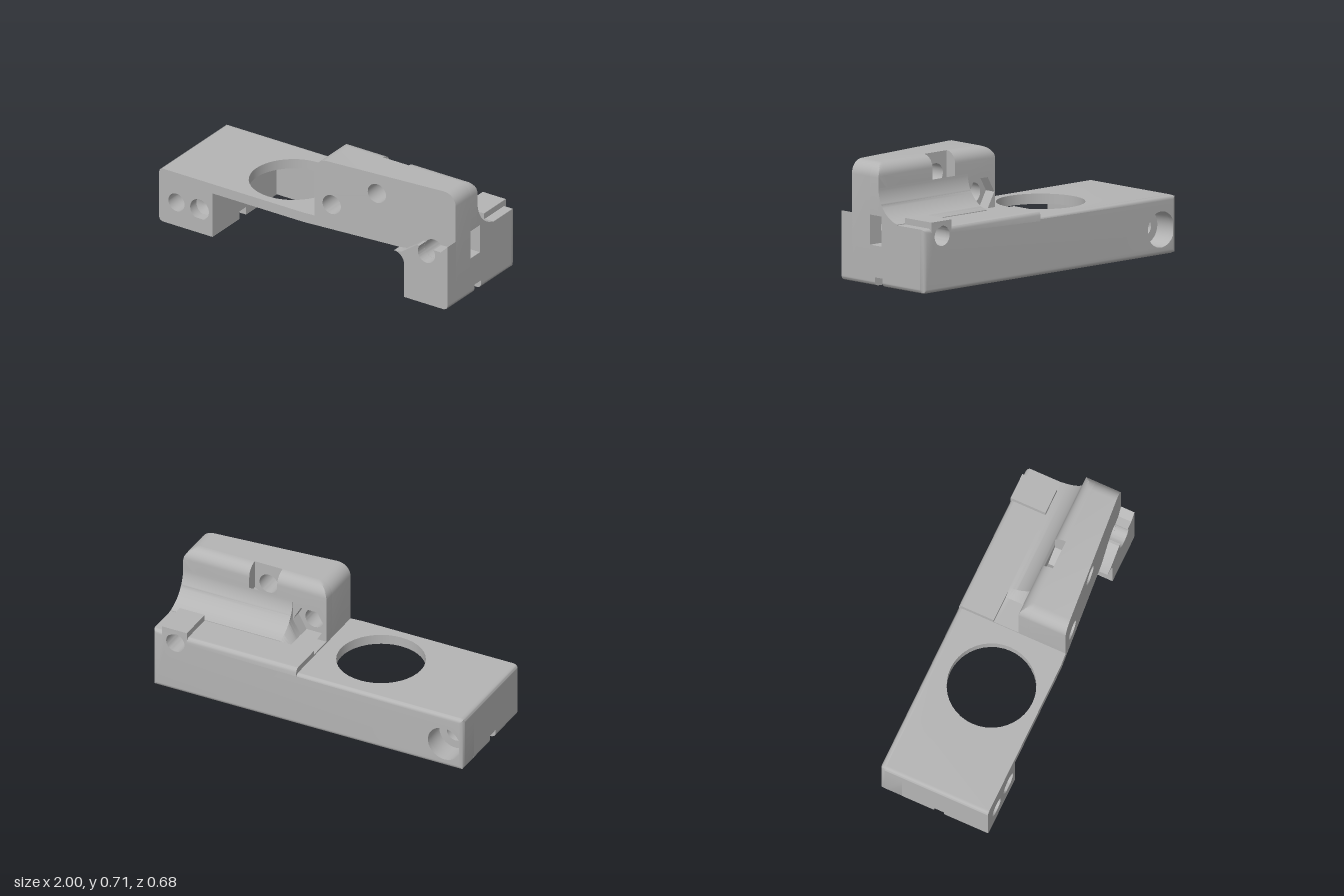
import * as THREE from 'three';
import { toCreasedNormals } from 'three/addons/utils/BufferGeometryUtils.js';

const BACK = -0.34, WALL = -0.31, FRONT = 0.34, EDGE = 0.025;

// how far a rounded edge pulls in at distance d from the end face
const inset = d => d >= EDGE ? 0 : EDGE - Math.sqrt(EDGE * EDGE - (EDGE - d) ** 2);
const clampX = (x, i) => Math.sign(x) * Math.min(Math.abs(x), 1 - i);

function circle(x, y, r) {
  return new THREE.Path().absarc(x, y, r, 0, Math.PI * 2, false);
}
function poly(points, holes = []) {
  const s = new THREE.Shape(points.map(p => new THREE.Vector2(p[0], p[1])));
  s.holes.push(...holes);
  return s;
}
const rect = (x0, y0, x1, y1, holes) => poly([[x0, y0], [x1, y0], [x1, y1], [x0, y1]], holes);

export function createModel() {
  const group = new THREE.Group();
  const grey = new THREE.MeshStandardMaterial({ color: 0xb4b4b4, side: THREE.DoubleSide });
  grey.name = 'grey plastic';

  function add(name, geometry) {
    const mesh = new THREE.Mesh(geometry, grey);
    mesh.name = name;
    group.add(mesh);
    return mesh;
  }
  // extrude a unit length along z, then move each vertex by a rule(x, y, t)
  function warped(shape, steps, rule) {
    const g = new THREE.ExtrudeGeometry(shape, { depth: 1, steps, bevelEnabled: false, curveSegments: 20 });
    const p = g.attributes.position;
    for (let i = 0; i < p.count; i++) p.setXYZ(i, ...rule(p.getX(i), p.getY(i), p.getZ(i)));
    return toCreasedNormals(g, 0.6);
  }
  const slice = (name, shape, z0, z1) =>
    add(name, warped(shape, 1, (x, y, t) => [x, y, z0 + (z1 - z0) * t]));
  // flat slab: shape is drawn in x and -z, thickness runs up y, ends rounded at the top or bottom
  const slab = (name, shape, y0, y1, roundTop) =>
    add(name, warped(shape, 16, (x, s, t) => {
      const y = y0 + (y1 - y0) * t;
      return [clampX(x, inset(roundTop ? y1 - y : y - y0)), y, -s];
    }));

  // top plate with the large round opening
  slab('topPlate', poly([[-1, -FRONT], [0, -FRONT], [0.075, -0.334], [0.075, -WALL], [-1, -WALL]],
    [circle(-0.28, -0.03, 0.257)]), 0.28, 0.34, true);

  // feet of both legs, with screw holes underneath and a cross groove
  for (const [side, inner, zEnd, zFront] of [[-1, 0.63, -0.2, FRONT], [1, 0.7, WALL, FRONT]]) {
    const x0 = Math.min(side, side * inner), x1 = Math.max(side, side * inner);
    slab('frontFoot', rect(x0, -zFront, x1, -0.065, [circle(side * 0.82, -0.22, 0.06)]), 0, 0.09, false);
    slab('rearFoot', rect(x0, 0, x1, -zEnd, [circle(side * 0.82, 0.12, 0.06)]), 0, 0.09, false);
    const roof = add('grooveRoof', new THREE.BoxGeometry(x1 - x0, 0.04, 0.065));
    roof.position.set((x0 + x1) / 2, 0.07, 0.0325);
  }

  // left leg, with a through hole, a blind hole and a rear counterbore
  const bolt = () => circle(-0.88, 0.15, 0.056);
  const bore = () => circle(-0.88, 0.15, 0.105);
  slice('leftLegFront', rect(-1, 0.09, -0.63, 0.28, [bolt(), circle(-0.72, 0.15, 0.065)]), 0.24, FRONT);
  slice('leftLegMiddle', rect(-1, 0.09, -0.63, 0.28, [bolt()]), -0.2, 0.24);
  slice('leftLegRear', poly([[-0.975, 0], [-0.63, 0], [-0.63, 0.28], [-1, 0.28], [-1, 0.025], [-0.993, 0.007]],
    [bore()]), WALL, -0.2);
  const cone = add('blindHoleTip', new THREE.ConeGeometry(0.065, 0.035, 32, 1, true));
  cone.rotation.x = -Math.PI / 2;
  cone.position.set(-0.72, 0.15, 0.259);

  // cross-section of the right half; the upper edge is passed in from right to left
  const screw = () => circle(0.855, 0.325, 0.059);
  const slot = [[1, 0.235], [0.8, 0.235], [0.75, 0.322], [0.8, 0.41], [1, 0.41]];
  function rightShape(upper, holes = []) {
    const s = new THREE.Shape();
    s.moveTo(0.075, 0.28);
    s.lineTo(0.63, 0.28);
    s.absarc(0.63, 0.21, 0.07, Math.PI / 2, 0, true);
    s.lineTo(0.7, 0.09);
    s.lineTo(1, 0.09);
    upper.forEach(p => s.lineTo(p[0], p[1]));
    s.closePath();
    s.holes.push(...holes);
    return s;
  }
  const corner = (cx, a0) => Array.from({ length: 9 }, (_, i) => {
    const a = a0 + i * Math.PI / 16;
    return [cx + 0.08 * Math.cos(a), 0.63 + 0.08 * Math.sin(a)];
  });
  const rightCorner = corner(0.92, 0), leftCorner = corner(0.155, Math.PI / 2);

  // tower front, its face slanting back towards the end
  add('towerFront', warped(rightShape([...rightCorner, ...leftCorner],
    [circle(0.187, 0.438, 0.06), circle(0.483, 0.585, 0.06), screw()]), 1,
    (x, y, t) => [x, y, t > 0.5 ? FRONT - 0.085 * x : 0.105]));

  // tower rear with rounded upper edge, nut pockets and side slot
  const hexagon = new THREE.Path(Array.from({ length: 6 }, (_, i) =>
    new THREE.Vector2(0.187 + 0.105 * Math.cos(i * Math.PI / 3), 0.44 + 0.105 * Math.sin(i * Math.PI / 3))));
  const nutNotch = [[0.573, 0.71], [0.573, 0.535], [0.483, 0.483], [0.393, 0.535], [0.393, 0.71]];
  add('towerRear', warped(rightShape([...slot, ...rightCorner, ...nutNotch, ...leftCorner], [hexagon]), 10,
    (x, y, t) => {
      const a = t * Math.PI / 2;
      return [x, Math.min(y, 0.64 + 0.07 * Math.sin(a)), 0.105 - 0.07 * Math.cos(a)];
    }));

  // concave saddle behind the tower, cut away at the lower nut pocket
  const saddleTop = [[1, 0.57], [0.292, 0.57], [0.292, 0.44], [0.24, 0.35], [0.075, 0.35]];
  function saddle(name, shape, a0, a1) {
    add(name, warped(shape, 10, (x, y, t) => {
      const a = a0 + (a1 - a0) * t;
      return [x, Math.min(y, 0.57 - 0.195 * Math.cos(a)), -0.16 + 0.195 * Math.sin(a)];
    }));
  }
  saddle('saddleUpper', rightShape([...slot, ...saddleTop]), 1.059, Math.PI / 2);
  saddle('saddleLower', rightShape(saddleTop, [screw()]), 0.206, 1.059);

  // rear ledge with the raised tab over the screw hole
  const tab = [[1, 0.375], [0.94, 0.375], [0.94, 0.412], [0.78, 0.412], [0.78, 0.375], [0.075, 0.375]];
  slice('rearLedge', rightShape(tab, [screw()]), WALL, -0.12);

  // back wall with softened edges
  const wall = poly([[-0.975, 0], [0.975, 0], [0.993, 0.007], [1, 0.025], ...tab, [0.075, 0.34],
    [-0.975, 0.34], [-0.993, 0.333], [-1, 0.315], [-1, 0.025], [-0.993, 0.007]], [bore(), screw()]);
  add('backWall', warped(wall, 8, (x, y, t) => {
    const d = (WALL - BACK) * t, i = inset(d);
    const nearTab = Math.abs(x - 0.855) < 0.07 || y > 0.4;
    const top = nearTab ? 1 : (y > 0.345 ? 0.375 : 0.34) - i;
    return [clampX(x, i), Math.max(i, Math.min(y, top)), BACK + d];
  }));

  // front column of the right leg, its top notched around the screw hole
  const column = new THREE.Shape();
  column.moveTo(0.7, 0.08);
  column.lineTo(1, 0.08);
  column.lineTo(1, 0.405);
  column.lineTo(0.955, 0.36);
  column.lineTo(0.904, 0.36);
  column.absarc(0.855, 0.325, 0.06, 0.62, Math.PI - 0.62, true);
  column.lineTo(0.79, 0.36);
  column.lineTo(0.68, 0.285);
  column.lineTo(0.63, 0.28);
  column.absarc(0.63, 0.21, 0.07, Math.PI / 2, 0, true);
  column.closePath();
  slice('frontColumn', column, 0.25, FRONT);

  return group;
}
